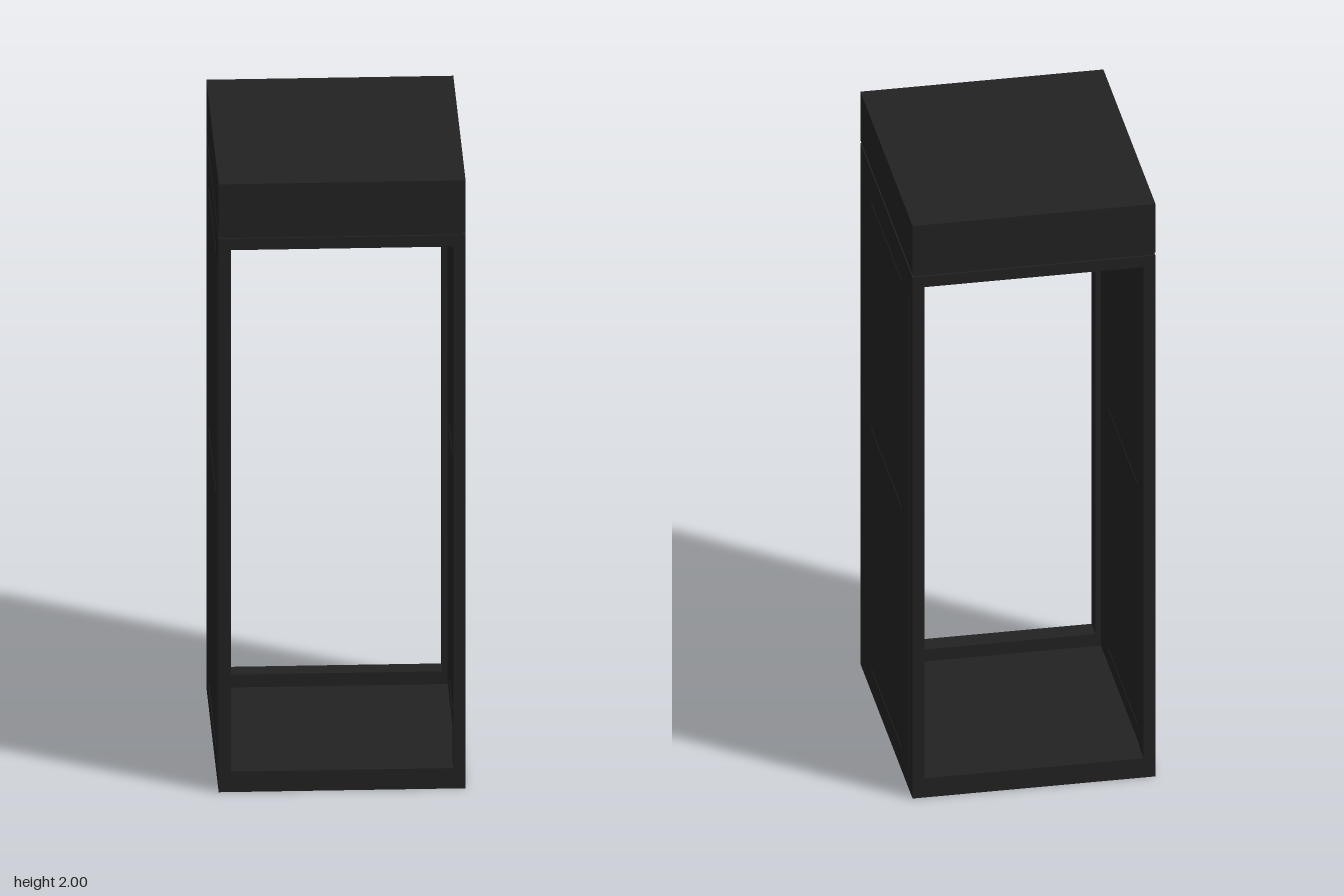
import * as THREE from 'three';

export function createModel() {
  const model = new THREE.Group();
  model.name = 'openCabinet';
  const material = new THREE.MeshStandardMaterial({ color: 0x222222 });

  const W = 0.755, D = 0.861;      // outer width and depth
  const BODY = 1.82, CAP = 1.83;   // top of body, bottom of cap
  const WALL = 0.02, POST = 0.037, POST_DEPTH = 0.065;

  function box(name, w, h, d, x, y, z) {
    const mesh = new THREE.Mesh(new THREE.BoxGeometry(w, h, d), material);
    mesh.name = name;
    mesh.position.set(x, y, z);
    model.add(mesh);
    return mesh;
  }

  // Rectangular ring, open at top and bottom
  function ring(name, w, d, thickness, y0, y1) {
    const shape = new THREE.Shape();
    const hole = new THREE.Path();
    const outline = (path, a, b) => path.moveTo(-a, -b).lineTo(a, -b).lineTo(a, b).lineTo(-a, b).closePath();
    outline(shape, w / 2, d / 2);
    outline(hole, w / 2 - thickness, d / 2 - thickness);
    shape.holes.push(hole);
    const geometry = new THREE.ExtrudeGeometry(shape, { depth: y1 - y0, bevelEnabled: false });
    geometry.rotateX(-Math.PI / 2);
    const mesh = new THREE.Mesh(geometry, material);
    mesh.name = name;
    mesh.position.y = y0;
    model.add(mesh);
  }

  // Floor
  box('floor', W - 0.002, 0.025, D - 0.002, 0, 0.0125, 0);

  // Front and back frames: sill, lintel and two posts each
  for (const s of [1, -1]) {
    const end = s > 0 ? 'front' : 'back';
    const z = s * (D - POST_DEPTH) / 2;
    const inner = W - 2 * POST;
    box(end + 'Sill', inner, 0.067, POST_DEPTH, 0, 0.0335, z);
    box(end + 'Lintel', inner, BODY - 1.783, POST_DEPTH, 0, (BODY + 1.783) / 2, z);
    for (const side of [1, -1]) {
      box(end + (side > 0 ? 'Left' : 'Right') + 'Post', POST, BODY, POST_DEPTH,
        side * (W - POST) / 2, BODY / 2, z);
    }
  }

  // Side walls with fine seam strips on both faces
  for (const s of [1, -1]) {
    const side = s > 0 ? 'left' : 'right';
    box(side + 'Wall', WALL, BODY, D - 2 * POST_DEPTH, s * (W - WALL) / 2, BODY / 2, 0);
    for (const y of [0.08, 0.92, 1.71]) {
      box(side + 'Seam', WALL + 0.003, 0.006, 0.5, s * (W - WALL) / 2, y, 0);
    }
    box(side + 'EdgeSeam', 0.003, 1.67, 0.006, s * W / 2, 0.885, -s * 0.37);
  }

  // Hollow cap above a narrow recessed joint
  ring('capJoint', W - 0.014, D - 0.014, WALL - 0.007, BODY, CAP);
  ring('capSkirt', W, D, WALL, CAP, 1.99);
  box('capTop', W, 0.01, D, 0, 1.995, 0);

  // The cabinet stands turned very slightly
  model.rotation.y = -0.028;
  return model;
}
